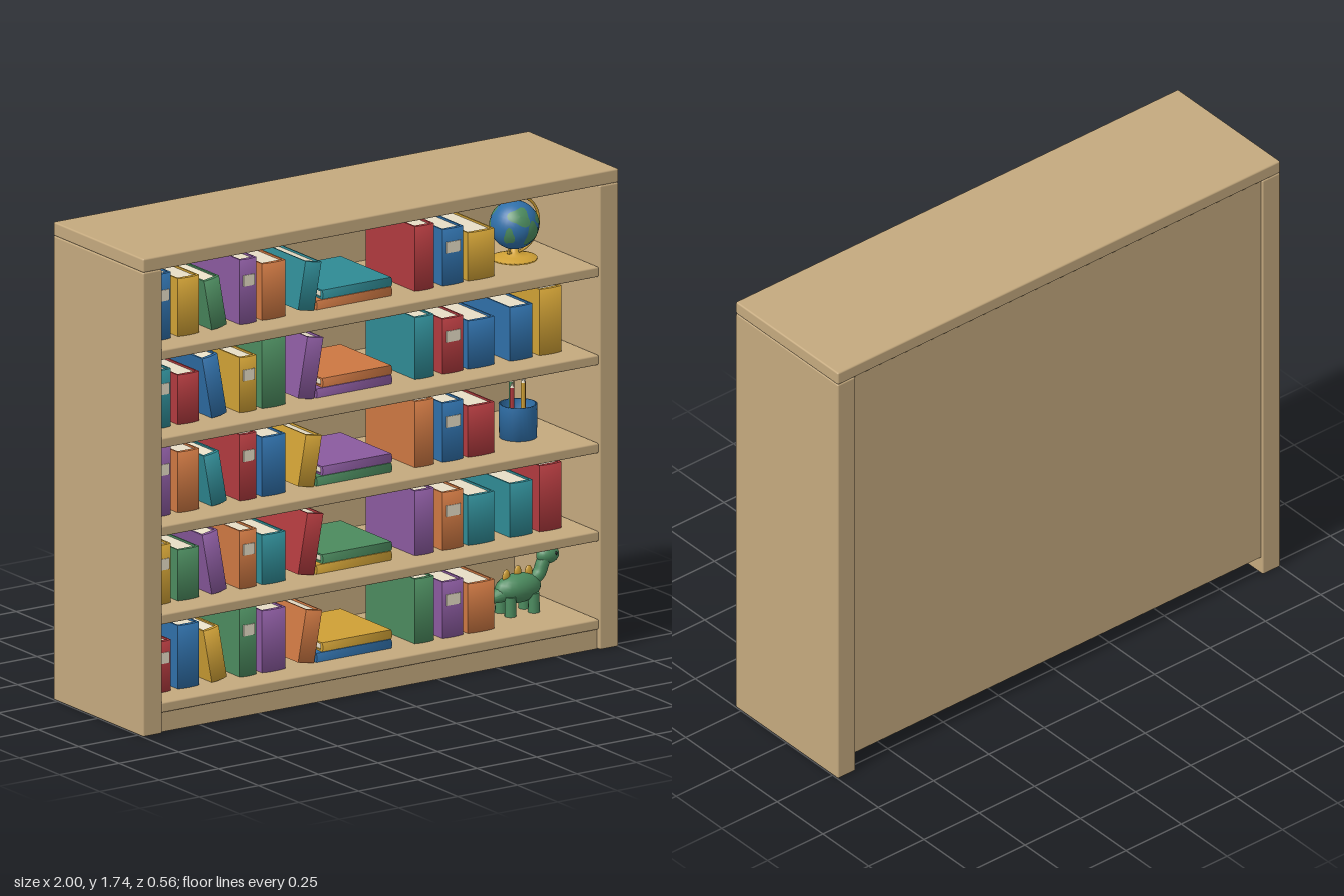
import * as THREE from 'three';
import { RoundedBoxGeometry } from 'three/addons/geometries/RoundedBoxGeometry.js';

const colors = {
  wood: 0xc4a97e, blue: 0x2f6fa8, yellow: 0xcfa035, green: 0x4b8a5e, purple: 0x8a5a9e,
  orange: 0xcc7742, teal: 0x2f8a94, red: 0xb03a3e, cream: 0xeee4cc, black: 0x222222,
};
const mats = {};
for (const [name, color] of Object.entries(colors)) {
  mats[name] = new THREE.MeshStandardMaterial({ color });
  mats[name].name = name;
}

function add(parent, name, geo, color, x = 0, y = 0, z = 0) {
  const mesh = new THREE.Mesh(geo, mats[color]);
  mesh.name = name;
  mesh.position.set(x, y, z);
  parent.add(mesh);
  return mesh;
}
const box = (w, h, d) => new THREE.BoxGeometry(w, h, d);
const slab = (w, h, d) => new RoundedBoxGeometry(w, h, d, 2, 0.006);

function group(parent, name, x = 0, y = 0, z = 0) {
  const g = new THREE.Group();
  g.name = name;
  g.position.set(x, y, z);
  parent.add(g);
  return g;
}

// Gently bulged spine whose normals roll over towards its head and foot
function spineGeometry(w, h) {
  const geo = new THREE.BoxGeometry(w, h, 0.01, 6, 1, 1);
  const p = geo.attributes.position, n = geo.attributes.normal, v = new THREE.Vector3();
  for (let i = 0; i < p.count; i++) {
    if (p.getZ(i) < 0) continue;
    const u = (2 * p.getX(i)) / w;
    p.setZ(i, p.getZ(i) + 0.006 * (1 - u * u));
    if (n.getZ(i) < 0.5) continue;
    v.set(u * 0.15, Math.sign(p.getY(i)) * 0.8, 1).normalize();
    n.setXYZ(i, v.x, v.y, v.z);
  }
  return geo;
}

// Book standing on its foot, spine towards +z, origin at the bottom centre
function book(parent, color, w, h, x, y, { tilt = 0, label = false, depth = 0.3 } = {}) {
  const g = group(parent, 'book', x, y + (w / 2) * Math.abs(Math.sin(tilt)), 0.16);
  g.rotation.z = tilt;
  const t = 0.006;
  for (const s of [-1, 1]) add(g, 'cover', box(t, h, depth), color, s * (w - t) / 2, h / 2, -depth / 2);
  add(g, 'spine', spineGeometry(w, h), color, 0, h / 2, 0);
  add(g, 'pages', box(w - 2 * t, h - 0.014, depth - 0.012), 'cream', 0, h / 2, -depth / 2 + 0.004);
  if (label) add(g, 'spineLabel', box(w * 0.66, 0.04, 0.006), 'cream', 0, h * 0.67, 0.01);
  return g;
}

// Globe on a tilted meridian ring
function globe(parent, x, y, z) {
  const g = group(parent, 'globe', x, y, z);
  const foot = [[0, 0], [0.08, 0], [0.08, 0.008], [0.05, 0.016], [0.016, 0.022], [0.012, 0.04], [0, 0.04]];
  add(g, 'globeFoot', new THREE.LatheGeometry(foot.map((p) => new THREE.Vector2(...p)), 28), 'yellow');
  const ball = group(g, 'globeBall', 0, 0.125, 0);
  ball.rotation.z = -0.25;
  const r = 0.086;
  add(ball, 'ocean', new THREE.SphereGeometry(r, 32, 20), 'blue');
  const lands = [[-0.45, 0.5, 0.5, 0.4], [0.3, -0.15, 0.34, 0.5], [-0.75, -0.45, 0.25, 0.35], [0.8, 0.5, 0.35, 0.3],
    [2.0, 0.4, 0.6, 0.4], [2.5, -0.4, 0.35, 0.3], [3.9, 0.35, 0.45, 0.45], [4.3, -0.4, 0.3, 0.4]];
  for (const [lon, lat, a, b] of lands) {
    const geo = new THREE.RingGeometry(0.001, 1, 24, 4);
    const p = geo.attributes.position;
    for (let i = 0; i < p.count; i++) {
      const px = p.getX(i), py = p.getY(i), k = 1 + 0.2 * Math.sin(3 * Math.atan2(py, px) + lon * 5);
      const lo = lon + px * a * k, la = lat + py * b * k;
      p.setXYZ(i, Math.sin(lo) * Math.cos(la), Math.sin(la), Math.cos(lo) * Math.cos(la));
    }
    geo.scale(r + 0.0015, r + 0.0015, r + 0.0015);
    geo.computeVertexNormals();
    add(ball, 'land', geo, 'green');
  }
  const ring = add(ball, 'meridianRing', new THREE.TorusGeometry(0.102, 0.005, 8, 40, Math.PI), 'yellow');
  ring.rotation.z = -Math.PI / 2;
  add(ball, 'axisPin', new THREE.CylinderGeometry(0.004, 0.004, 0.212, 8), 'yellow');
}

// Cup with pencils
function pencilCup(parent, x, y, z) {
  const g = group(parent, 'pencilCup', x, y, z);
  const wall = [[0, 0], [0.066, 0], [0.068, 0.12], [0.06, 0.12], [0.058, 0.01], [0, 0.01]];
  add(g, 'cup', new THREE.LatheGeometry(wall.map((p) => new THREE.Vector2(...p)), 28), 'blue');
  const pencils = [['red', -0.032, 0.01, 0.175], ['green', -0.012, -0.025, 0.185], ['yellow', 0.008, 0.02, 0.19], ['orange', 0.03, -0.01, 0.185]];
  for (const [color, px, pz, h] of pencils) {
    const p = group(g, 'pencil', px, 0.01, pz);
    add(p, 'pencilShaft', new THREE.CylinderGeometry(0.008, 0.008, h, 6), color, 0, h / 2, 0);
    add(p, 'pencilTip', new THREE.ConeGeometry(0.008, 0.022, 6), 'cream', 0, h + 0.011, 0);
  }
}

// Toy dinosaur facing +x
function dinosaur(parent, x, y, z) {
  const g = group(parent, 'toyDinosaur', x, y, z);
  const blob = (name, color, px, py, pz, rx, ry, rz) =>
    add(g, name, new THREE.SphereGeometry(1, 20, 14).scale(rx, ry, rz), color, px, py, pz);
  blob('body', 'green', 0, 0.088, 0, 0.092, 0.053, 0.052);
  const tail = add(g, 'tail', new THREE.ConeGeometry(0.04, 0.15, 16), 'green', -0.105, 0.067, 0);
  tail.rotation.z = Math.PI / 2 + 0.24;
  const path = new THREE.CatmullRomCurve3([[0.05, 0.1], [0.088, 0.125], [0.103, 0.158], [0.115, 0.185]]
    .map(([a, b]) => new THREE.Vector3(a, b, 0)));
  add(g, 'neck', new THREE.TubeGeometry(path, 14, 0.024, 14), 'green');
  blob('head', 'green', 0.126, 0.188, 0, 0.044, 0.032, 0.03);
  for (const s of [-1, 1]) {
    blob('eye', 'black', 0.145, 0.195, s * 0.025, 0.006, 0.006, 0.004);
    for (const lx of [-0.05, 0.048]) {
      add(g, 'leg', new THREE.CylinderGeometry(0.019, 0.021, 0.07, 14), 'green', lx, 0.035, s * 0.03);
    }
  }
  [[-0.048, 0.136], [0, 0.144], [0.046, 0.138]].forEach(([sx, sy]) => blob('backPlate', 'yellow', sx, sy, 0, 0.015, 0.025, 0.009));
}

export function createModel() {
  const root = new THREE.Group();
  root.name = 'bookcase';

  // Carcass
  add(root, 'topBoard', slab(2, 0.05, 0.56), 'wood', 0, 1.71, 0);
  for (const s of [-1, 1]) add(root, 'sidePanel', slab(0.08, 1.685, 0.56), 'wood', s * 0.96, 0.8425, 0);
  add(root, 'backPanel', box(1.84, 1.615, 0.02), 'wood', 0, 0.8775, -0.26);
  add(root, 'kickBoard', box(1.84, 0.072, 0.025), 'wood', 0, 0.036, 0.25);
  const shelfTops = [0.11, 0.43, 0.75, 1.07, 1.39];
  for (const y of shelfTops) add(root, 'shelf', slab(1.84, 0.037, 0.53), 'wood', 0, y - 0.0185, 0.01);

  // Standing book slots: centre x, width, tilt, labelled
  const slots = [
    [-0.837, 0.062, 0, true], [-0.732, 0.09, 0], [-0.602, 0.064, 0.18], [-0.481, 0.07, 0, true],
    [-0.373, 0.098, 0], [-0.237, 0.068, -0.18], [0.258, 0.08, 0], [0.379, 0.09, 0, true],
    [0.499, 0.11, 0], [0.667, 0.096, 0], [0.79, 0.094, 0],
  ];
  // Per shelf, from the bottom: book colours, heights, stacked pair
  const initials = { b: 'blue', y: 'yellow', g: 'green', p: 'purple', o: 'orange', t: 'teal', r: 'red' };
  const rows = [
    ['rbygpogpo', [0.185, 0.23, 0.205, 0.25, 0.225, 0.2, 0.235, 0.205, 0.18], 'by'],
    ['ygpotrpottr', [0.215, 0.185, 0.235, 0.21, 0.18, 0.23, 0.235, 0.21, 0.18, 0.195, 0.24], 'yg'],
    ['potrbyobr', [0.25, 0.22, 0.2, 0.24, 0.215, 0.195, 0.24, 0.215, 0.185], 'gp'],
    ['trbygptrbby', [0.21, 0.18, 0.235, 0.2, 0.25, 0.23, 0.225, 0.2, 0.175, 0.195, 0.24], 'po'],
    ['bygpotrby', [0.24, 0.21, 0.195, 0.235, 0.205, 0.185, 0.235, 0.205, 0.175], 'ot'],
  ];
  rows.forEach(([code, heights, pair], r) => {
    const y = shelfTops[r];
    const shelf = group(root, 'shelfBooks');
    heights.forEach((h, i) => {
      const [x, w, tilt, label] = slots[i];
      book(shelf, initials[code[i]], w, tilt ? h - 0.01 : h, x, y, { tilt, label });
    });
    // Two books lying flat
    [...pair].forEach((c, i) => {
      const lying = book(shelf, initials[c], 0.033, i ? 0.29 : 0.315, 0.12, 0, { depth: i ? 0.31 : 0.33 });
      lying.rotation.z = Math.PI / 2;
      lying.position.y = y + 0.0165 + i * 0.0345;
    });
  });

  // Ornaments
  globe(root, 0.73, 1.39, 0.03);
  pencilCup(root, 0.732, 0.75, 0.05);
  dinosaur(root, 0.737, 0.11, 0.04);
  return root;
}
